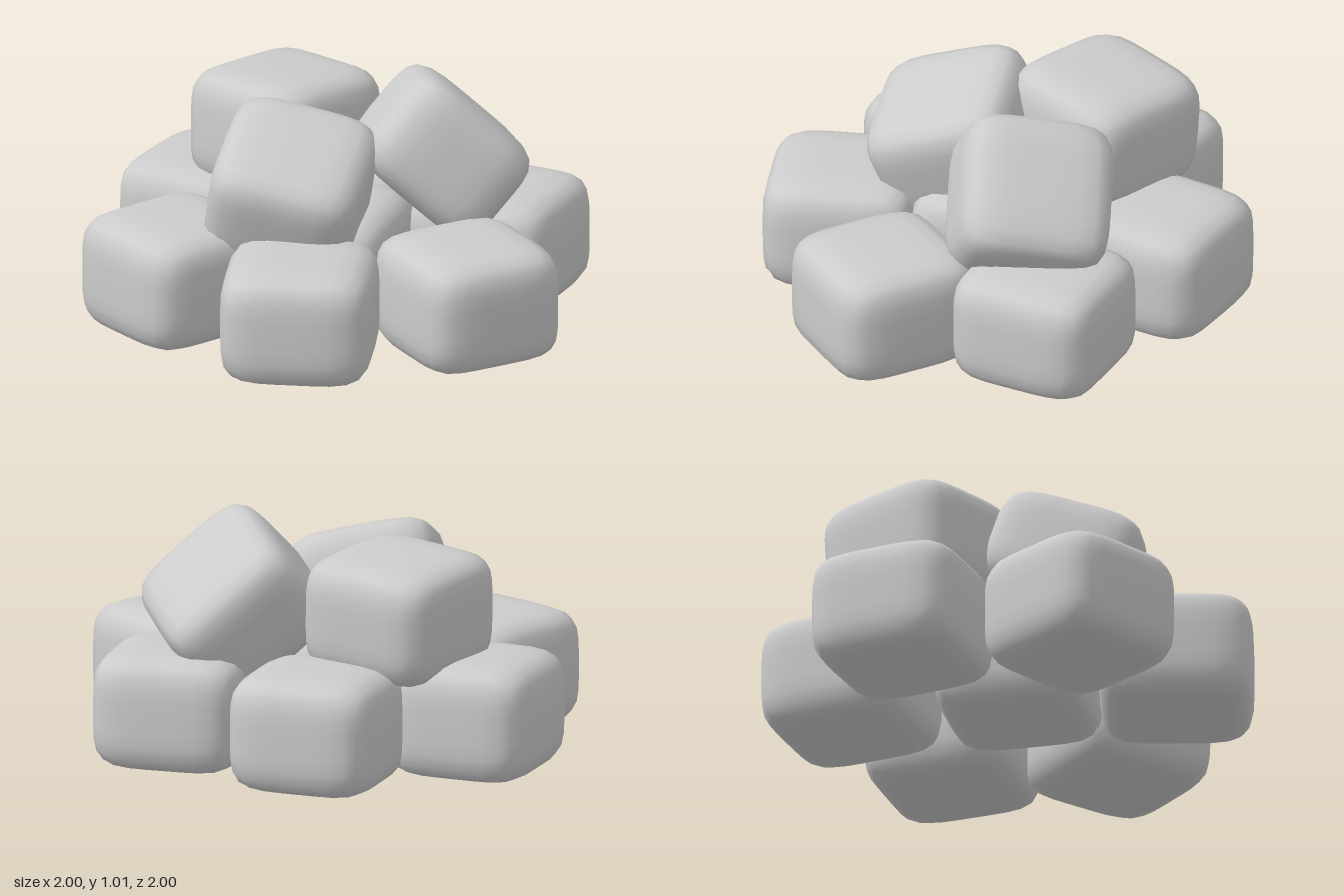
import * as THREE from 'three';
import { mergeVertices } from 'three/addons/utils/BufferGeometryUtils.js';

// One pillow-like block: a box pushed out onto a rounded cube, smooth all over
function blockGeometry(width, height, depth, power = 5) {
  let geo = new THREE.BoxGeometry(2, 2, 2, 8, 8, 8);
  geo.deleteAttribute('uv');
  geo.deleteAttribute('normal');
  geo = mergeVertices(geo);
  const pos = geo.attributes.position;
  const v = new THREE.Vector3();
  for (let i = 0; i < pos.count; i++) {
    v.fromBufferAttribute(pos, i);
    const sum = Math.abs(v.x) ** power + Math.abs(v.y) ** power + Math.abs(v.z) ** power;
    v.multiplyScalar(sum ** (-1 / power));
    pos.setXYZ(i, v.x * width / 2, v.y * height / 2, v.z * depth / 2);
  }
  geo.computeVertexNormals();
  return geo;
}

export function createModel() {
  const model = new THREE.Group();
  model.name = 'blockPile';
  const material = new THREE.MeshStandardMaterial({ color: 0xcccccc });
  const geometry = blockGeometry(0.62, 0.485, 0.63);
  const rad = THREE.MathUtils.degToRad;

  function addBlock(name, [x, y, z], [rx, ry, rz]) {
    const mesh = new THREE.Mesh(geometry, material);
    mesh.name = name;
    mesh.position.set(x, y, z);
    mesh.rotation.set(rad(rx), rad(ry), rad(rz));
    model.add(mesh);
  }

  // Bottom layer: a ring of six around one, lying flat (x, z, turn)
  const bottom = {
    frontBlock: [-0.07, 0.685, 0],
    frontRightBlock: [-0.62, 0.30, -45],
    backRightBlock: [-0.56, -0.42, -24],
    backBlock: [0.09, -0.64, -23],
    backLeftBlock: [0.64, -0.24, -19],
    frontLeftBlock: [0.585, 0.43, 36],
    middleBlock: [-0.04, 0.04, -12],
  };
  for (const [name, [x, z, turn]] of Object.entries(bottom)) {
    addBlock(name, [x, 0.2425, z], [0, turn, 0]);
  }

  // Upper layer: three tumbled blocks
  addBlock('upperFrontBlock', [-0.16, 0.6, 0.23], [20, -8, -9]);
  addBlock('upperBackBlock', [-0.25, 0.65, -0.355], [-4, -38, 0]);
  addBlock('upperLeftBlock', [0.41, 0.64, -0.145], [-13, 15, -39]);

  return model;
}
